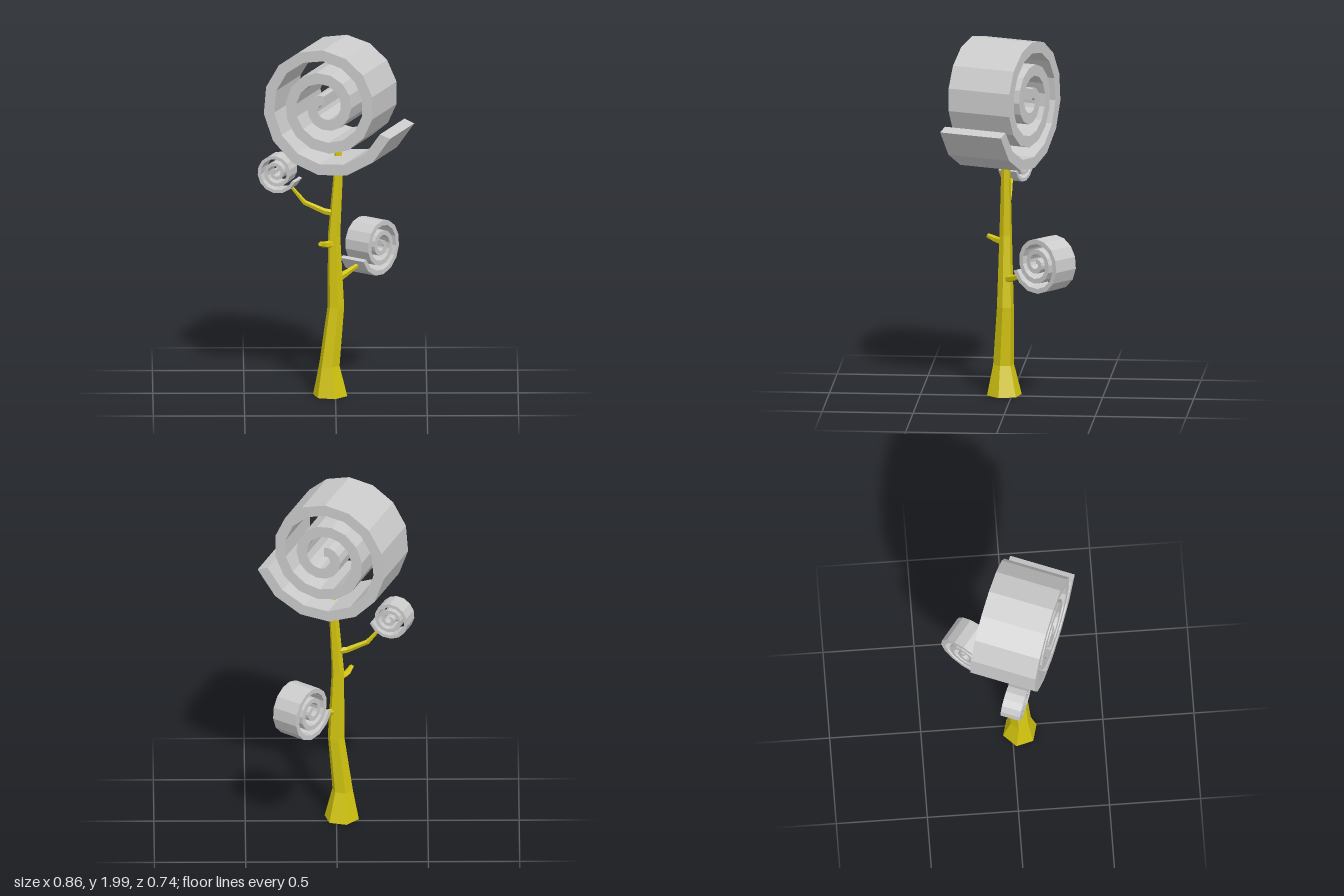
import * as THREE from 'three';

const grey = new THREE.MeshStandardMaterial({ color: 0xcccccc, flatShading: true });
const yellow = new THREE.MeshStandardMaterial({ color: 0xd2c40f, flatShading: true });
const UP = new THREE.Vector3(0, 1, 0);

// Faceted limb through sections [x, y, z, radius]; flat keeps every ring level
function limb(name, sections, sides, flat = false) {
  const centres = sections.map(([x, y, z]) => new THREE.Vector3(x, y, z));
  const last = centres.length - 1;
  const pos = [], index = [];
  centres.forEach((c, i) => {
    const dir = centres[Math.min(i + 1, last)].clone().sub(centres[Math.max(i - 1, 0)]).normalize();
    const q = new THREE.Quaternion();
    if (!flat) q.setFromUnitVectors(UP, dir);
    for (let j = 0; j < sides; j++) {
      const a = ((j + 0.25) / sides) * Math.PI * 2;
      const r = sections[i][3];
      const p = new THREE.Vector3(Math.sin(a) * r, 0, Math.cos(a) * r).applyQuaternion(q).add(c);
      pos.push(p.x, p.y, p.z);
    }
  });
  for (let i = 0; i < last; i++) {
    for (let j = 0; j < sides; j++) {
      const a = i * sides + j, b = i * sides + ((j + 1) % sides);
      index.push(a, b, b + sides, a, b + sides, a + sides);
    }
  }
  // End caps
  const top = last * sides;
  for (let j = 1; j < sides - 1; j++) {
    index.push(0, j + 1, j, top, top + j, top + j + 1);
  }
  const geo = new THREE.BufferGeometry();
  geo.setAttribute('position', new THREE.Float32BufferAttribute(pos, 3));
  geo.setIndex(index);
  geo.computeVertexNormals();
  const mesh = new THREE.Mesh(geo, yellow);
  mesh.name = name;
  return mesh;
}

// Spiral band, widening counter-clockwise from the core to the loose tail
function scrollGeometry() {
  const start = 90, end = 1060, steps = 39, thickness = 0.062, depth = 0.37;
  const outer = [], inner = [];
  for (let i = 0; i <= steps; i++) {
    const deg = start + ((end - start) * i) / steps;
    const a = THREE.MathUtils.degToRad(deg);
    const r = 0.03 + (0.13 * deg) / 360;
    const ri = Math.max(r - thickness, 0.002);
    outer.push(new THREE.Vector2(Math.cos(a) * r, Math.sin(a) * r));
    inner.push(new THREE.Vector2(Math.cos(a) * ri, Math.sin(a) * ri));
  }
  const shape = new THREE.Shape([...outer, ...inner.reverse()]);
  const geo = new THREE.ExtrudeGeometry(shape, { depth, bevelEnabled: false });
  geo.translate(0, 0, -depth / 2);
  return geo;
}

export function createModel() {
  const model = new THREE.Group();
  model.name = 'curlyTree';

  // Trunk with a flared foot
  model.add(limb('trunk', [
    [-0.029, 0, 0.042, 0.097],
    [-0.034, 0.17, 0.047, 0.058],
    [0.002, 0.5, 0.034, 0.047],
    [-0.008, 0.9, 0.033, 0.035],
    [0.018, 1.3, 0.03, 0.025],
    [0.012, 1.45, 0.03, 0.014],
  ], 6, true));

  // Branches
  model.add(limb('upperBranch', [
    [0.0, 1.025, 0.03, 0.02],
    [-0.06, 1.035, 0.03, 0.017],
    [-0.17, 1.085, 0.025, 0.014],
    [-0.24, 1.17, 0.02, 0.009],
  ], 5));
  model.add(limb('stubBranch', [
    [-0.01, 0.855, 0.04, 0.022],
    [-0.06, 0.862, 0.09, 0.018],
    [-0.085, 0.878, 0.138, 0.013],
  ], 5));
  model.add(limb('lowerBranch', [
    [0.01, 0.655, 0.03, 0.024],
    [0.06, 0.675, -0.02, 0.018],
    [0.125, 0.705, -0.085, 0.011],
  ], 5));

  // Scroll crowns: [name, x, y, z, turn, scale]
  const geo = scrollGeometry();
  const scrolls = [
    ['topScroll', 0.003, 1.672, 0.054, -0.374, 1],
    ['lowerScroll', 0.193, 0.795, -0.203, 0.91 + Math.PI, 0.43],
    ['smallScroll', -0.309, 1.257, -0.001, -0.374, 0.296],
  ];
  for (const [name, x, y, z, turn, scale] of scrolls) {
    const mesh = new THREE.Mesh(geo, grey);
    mesh.name = name;
    mesh.position.set(x, y, z);
    mesh.rotation.y = turn;
    mesh.scale.setScalar(scale);
    model.add(mesh);
  }
  return model;
}
